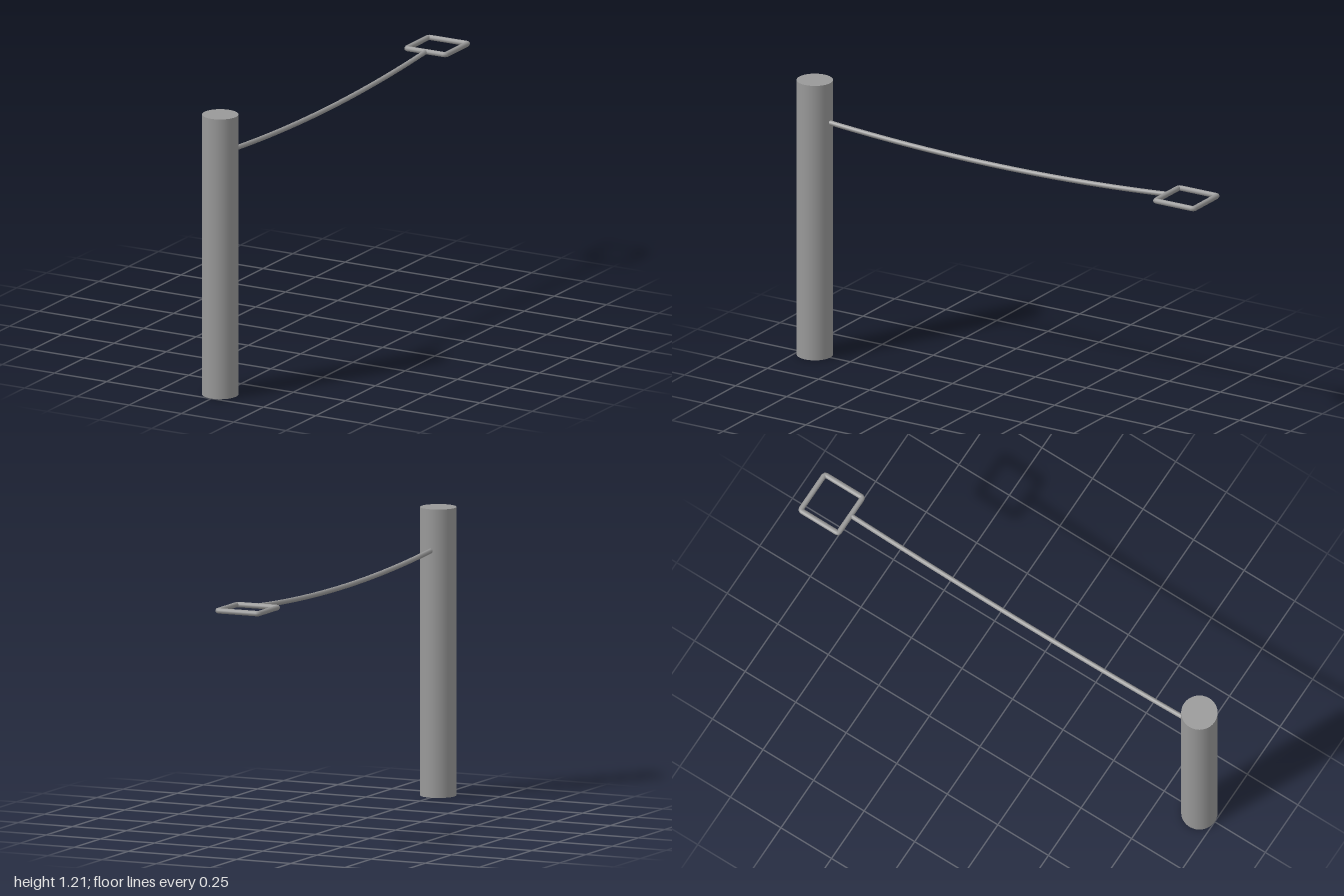
import * as THREE from 'three';

const POST_RADIUS = 0.076, POST_HEIGHT = 1.213, POST_Z = 0.924;
const HANG_Y = 1.038;           // height of the rope ends and the ring
const RING_Z = -0.895, RING_HALF = 0.094, RING_TUBE = 0.0115;

// Square loop in the horizontal plane with tightly rounded corners
function squareLoop(half, round) {
  const path = new THREE.CurvePath();
  const corners = [[1, 1], [1, -1], [-1, -1], [-1, 1]]
    .map(([x, z]) => new THREE.Vector3(x * half, 0, z * half));
  const toward = (a, b) => a.clone().add(b.clone().sub(a).setLength(round));
  corners.forEach((c, i) => {
    const prev = corners[(i + 3) % 4], next = corners[(i + 1) % 4];
    path.add(new THREE.QuadraticBezierCurve3(toward(c, prev), c, toward(c, next)));
    path.add(new THREE.LineCurve3(toward(c, next), toward(next, c)));
  });
  return path;
}

export function createModel() {
  const group = new THREE.Group();
  group.name = 'ropeBarrierPost';
  const material = new THREE.MeshStandardMaterial({ color: 0x999999 });
  const add = (name, geometry, x, y, z) => {
    const mesh = new THREE.Mesh(geometry, material);
    mesh.name = name;
    mesh.position.set(x, y, z);
    group.add(mesh);
  };

  // Upright round post
  add('post', new THREE.CylinderGeometry(POST_RADIUS, POST_RADIUS, POST_HEIGHT, 32),
    0, POST_HEIGHT / 2, POST_Z);

  // Sagging rope from just inside the post to the ring
  const ropeCurve = new THREE.QuadraticBezierCurve3(
    new THREE.Vector3(0, HANG_Y, POST_Z - POST_RADIUS + 0.008),
    new THREE.Vector3(0, HANG_Y - 0.068, 0.026),
    new THREE.Vector3(0, HANG_Y, RING_Z + RING_HALF));
  add('rope', new THREE.TubeGeometry(ropeCurve, 24, 0.0105, 10), 0, 0, 0);

  // Square ring at the free end
  add('ring', new THREE.TubeGeometry(squareLoop(RING_HALF, 0.008), 128, RING_TUBE, 10, true),
    0, HANG_Y, RING_Z);

  return group;
}
